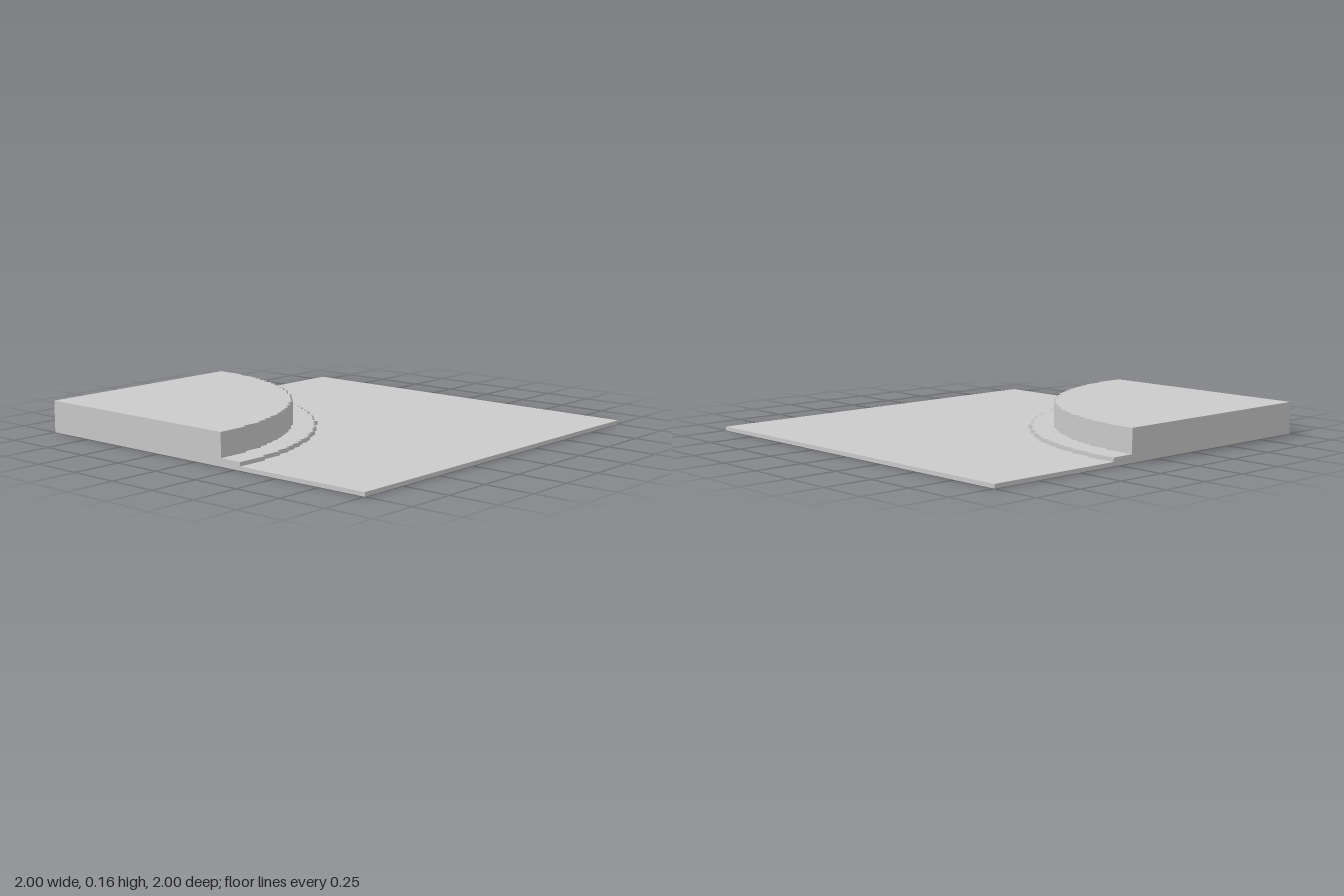
import * as THREE from 'three';

const CELL = 0.02;

// Number of filled cells in column i of a quarter disc of the given radius,
// symmetric about the diagonal.
function columnHeight(i, radius) {
  let j = 0;
  while (Math.min(i, j) ** 2 + (Math.max(i, j) + 0.5) ** 2 <= radius ** 2) j++;
  return j;
}

// Quarter disc with a stair-stepped rim, cornered at the front of the -x side.
function steppedQuarter(name, radius, bottom, top, material) {
  const shape = new THREE.Shape();
  shape.moveTo(0, 0);
  shape.lineTo(radius * CELL, 0);
  let height = 0;
  for (let i = radius - 1; i >= 0; i--) {
    const next = columnHeight(i, radius);
    if (next === height) continue;
    const x = (i + 1) * CELL;
    if (height > 0) shape.lineTo(x, height * CELL);
    shape.lineTo(x, next * CELL);
    height = next;
  }
  shape.lineTo(0, height * CELL);

  const geometry = new THREE.ExtrudeGeometry(shape, { depth: top - bottom, bevelEnabled: false });
  geometry.rotateX(-Math.PI / 2);
  geometry.translate(-1, bottom, 1);
  const mesh = new THREE.Mesh(geometry, material);
  mesh.name = name;
  return mesh;
}

export function createModel() {
  const model = new THREE.Group();
  model.name = 'steppedCornerTile';
  const material = new THREE.MeshStandardMaterial({ color: 0xcccccc, flatShading: true });

  // Thin square plate
  const plate = new THREE.Mesh(new THREE.BoxGeometry(2, 0.02, 2), material);
  plate.name = 'basePlate';
  plate.position.y = 0.01;
  model.add(plate);

  // Low curb with the raised platform on top
  model.add(steppedQuarter('curb', 64, 0.02, 0.04, material));
  model.add(steppedQuarter('platform', 58, 0.04, 0.16, material));

  return model;
}
